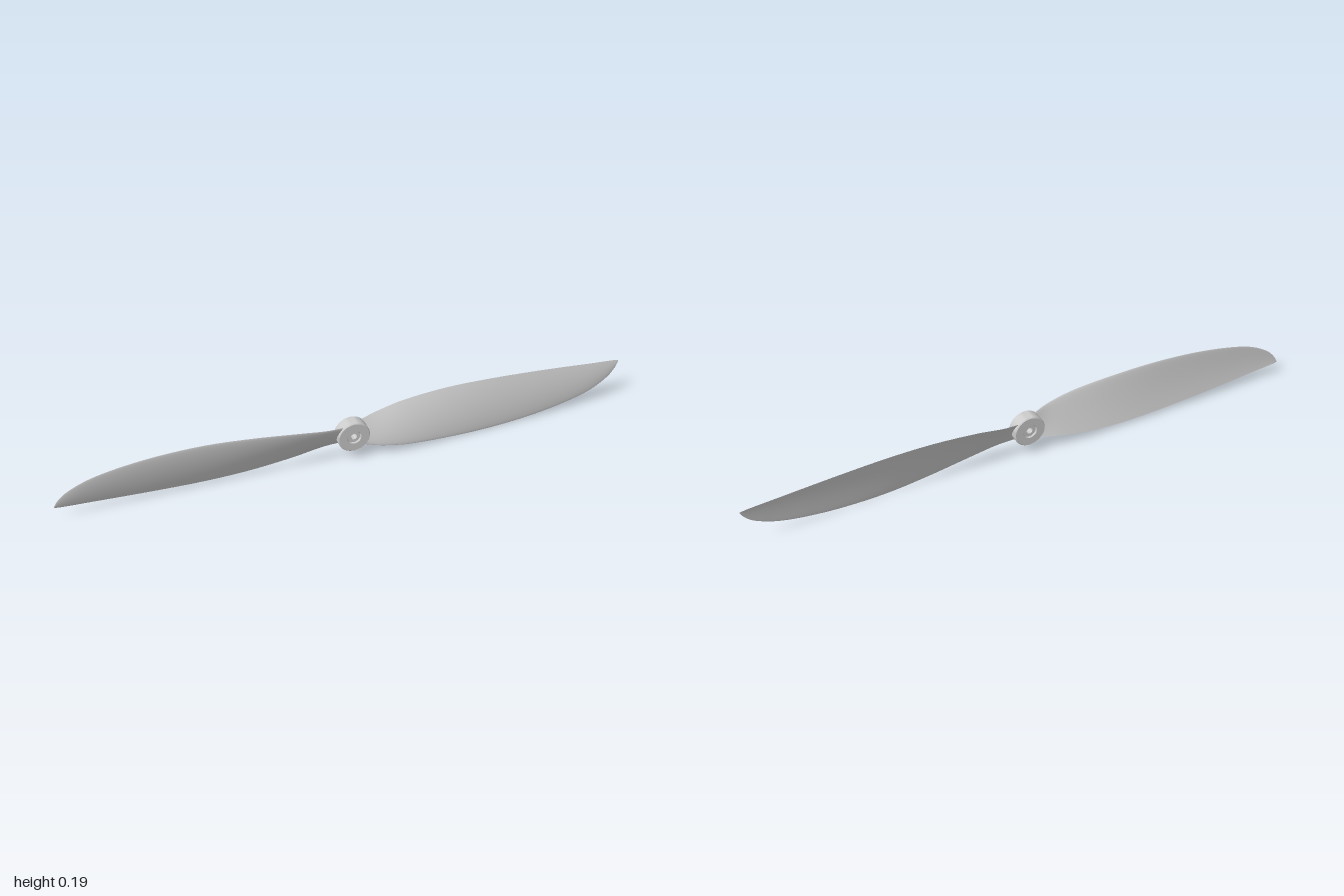
import * as THREE from 'three';
import { toCreasedNormals } from 'three/addons/utils/BufferGeometryUtils.js';

const HUB_Y = 0.0945;

// Blade stations: x, lower edge (y, z), upper edge (y, z)
const STATIONS = [
  [0.03, 0.053, 0.012, 0.132, -0.016],
  [0.10, 0.039, 0.027, 0.145, -0.028],
  [0.20, 0.022, 0.030, 0.164, -0.032],
  [0.35, 0.007, 0.022, 0.177, -0.031],
  [0.50, 0.000, 0.013, 0.177, -0.028],
  [0.65, 0.006, 0.006, 0.170, -0.026],
  [0.78, 0.023, 0.000, 0.161, -0.024],
  [0.88, 0.047, -0.005, 0.153, -0.022],
  [0.95, 0.081, -0.011, 0.148, -0.021],
  [0.985, 0.113, -0.016, 0.145, -0.021],
  [1.00, 0.140, -0.020, 0.142, -0.020],
];

// Twisted, cambered blade lofted between its two edge curves
function bladeGeometry(spanSteps = 50, chordSteps = 14) {
  const edge = (k) => new THREE.CatmullRomCurve3(
    STATIONS.map((s) => new THREE.Vector3(s[0], s[k] - HUB_Y, s[k + 1])), false, 'catmullrom');
  const lower = edge(1), upper = edge(3);
  const pos = [], idx = [];
  for (const side of [1, -1]) {
    const start = pos.length / 3;
    for (let i = 0; i <= spanSteps; i++) {
      const t = i / spanSteps;
      const a = lower.getPoint(t), b = upper.getPoint(t);
      const chord = b.clone().sub(a);
      const len = Math.hypot(chord.y, chord.z);
      const normal = new THREE.Vector3(0, -chord.z, chord.y).divideScalar(len);
      const thick = len * (0.035 + 0.05 * (1 - t) ** 3);
      for (let j = 0; j <= chordSteps; j++) {
        const u = (1 - Math.cos((Math.PI * j) / chordSteps)) / 2;
        const half = thick * Math.sqrt(u) * (1 - u) * 1.3;
        const offset = 0.035 * len * 4 * u * (1 - u) + side * half;
        const p = a.clone().addScaledVector(chord, u).addScaledVector(normal, offset);
        pos.push(p.x, p.y, p.z);
      }
    }
    const row = chordSteps + 1;
    for (let i = 0; i < spanSteps; i++) {
      for (let j = 0; j < chordSteps; j++) {
        const a = start + i * row + j, b = a + row, c = a + 1, d = b + 1;
        if (side > 0) idx.push(a, b, c, b, d, c);
        else idx.push(a, c, b, b, c, d);
      }
    }
  }
  const g = new THREE.BufferGeometry();
  g.setAttribute('position', new THREE.Float32BufferAttribute(pos, 3));
  g.setIndex(idx);
  g.computeVertexNormals();
  return g;
}

// Hub ring with recessed faces and a through bore
function hubGeometry() {
  const profile = [
    [0.011, -0.019], [0.022, -0.019], [0.025, -0.024], [0.053, -0.024], [0.056, -0.021],
    [0.056, 0.019], [0.053, 0.022], [0.025, 0.022], [0.022, 0.017], [0.011, 0.017], [0.011, -0.019],
  ].map(([r, y]) => new THREE.Vector2(r, y));
  const g = new THREE.LatheGeometry(profile, 40);
  g.rotateX(Math.PI / 2);
  return toCreasedNormals(g, 0.5);
}

export function createModel() {
  const model = new THREE.Group();
  model.name = 'propeller';
  const material = new THREE.MeshStandardMaterial({ color: 0xcccccc, side: THREE.DoubleSide });

  const hub = new THREE.Mesh(hubGeometry(), material);
  hub.name = 'hub';
  hub.position.y = HUB_Y;
  model.add(hub);

  // Two identical blades, half a turn apart
  const blade = bladeGeometry();
  ['leftBlade', 'rightBlade'].forEach((name, i) => {
    const mesh = new THREE.Mesh(blade, material);
    mesh.name = name;
    mesh.position.y = HUB_Y;
    mesh.rotation.z = i * Math.PI;
    model.add(mesh);
  });
  return model;
}
